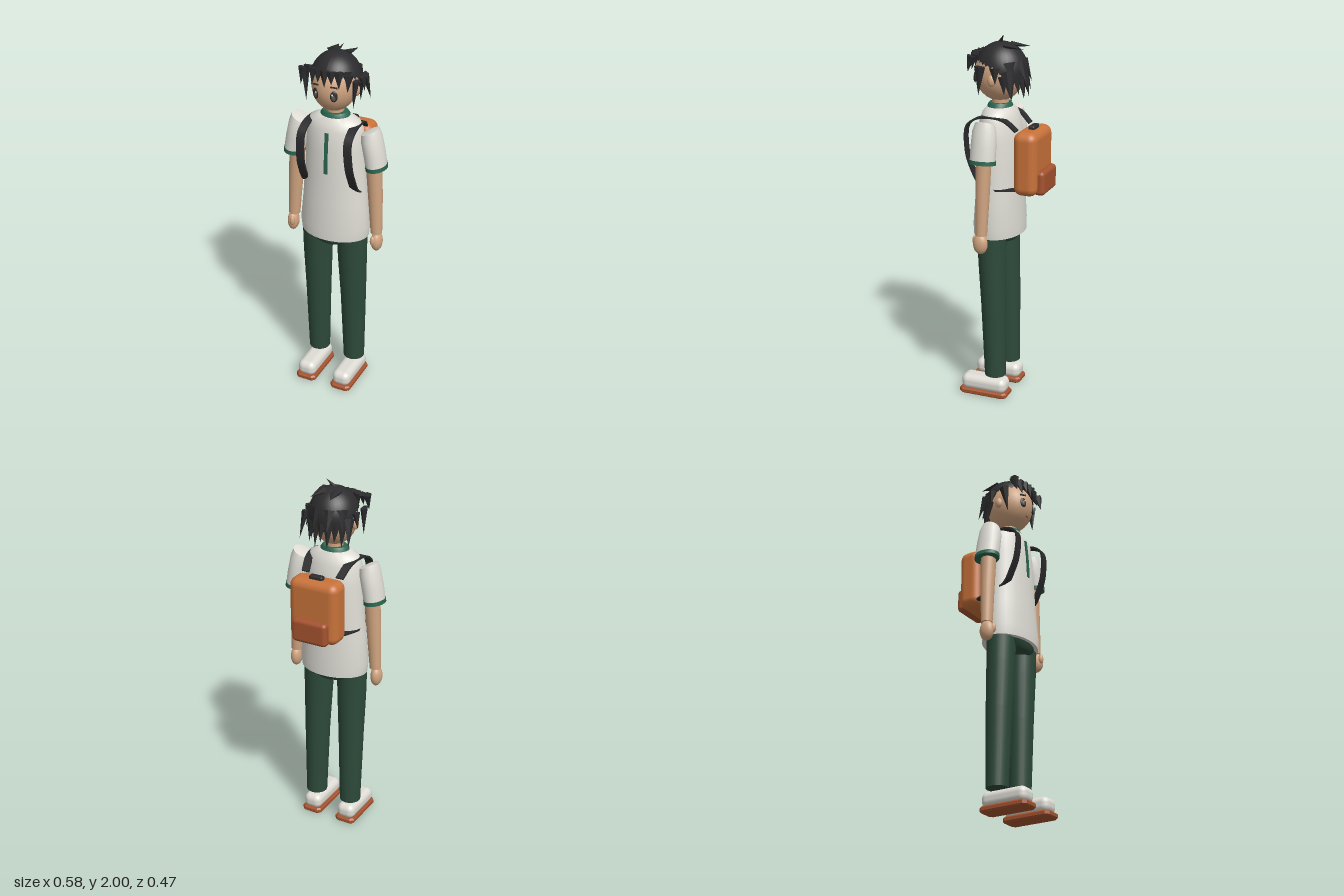
import * as THREE from 'three';
import { toCreasedNormals } from 'three/addons/utils/BufferGeometryUtils.js';
import { RoundedBoxGeometry } from 'three/addons/geometries/RoundedBoxGeometry.js';

const V = (x, y, z) => new THREE.Vector3(x, y, z);

function material(name, color, extra = {}) {
  const m = new THREE.MeshStandardMaterial({ color, ...extra });
  m.name = name;
  return m;
}

// Closed skin through elliptical rings [y, rx, rz, xCentre, zCentre, slope], listed upwards
function loft(rings, n = 24, side = 1) {
  const pos = [], idx = [];
  for (const [y, rx, rz, xc = 0, zc = 0, slope = 0] of rings) {
    for (let j = 0; j < n; j++) {
      const a = (j / n) * Math.PI * 2, dx = rx * Math.cos(a);
      pos.push(xc * side + dx, y + slope * side * dx, zc + rz * Math.sin(a));
    }
  }
  for (let i = 0; i < rings.length - 1; i++) {
    for (let j = 0; j < n; j++) {
      const a = i * n + j, b = i * n + (j + 1) % n;
      idx.push(a, a + n, b, b, a + n, b + n);
    }
  }
  const bottom = pos.length / 3, top = bottom + 1, last = (rings.length - 1) * n;
  for (const r of [rings[0], rings[rings.length - 1]]) pos.push((r[3] || 0) * side, r[0], r[4] || 0);
  for (let j = 0; j < n; j++) {
    const k = (j + 1) % n;
    idx.push(bottom, j, k, top, last + k, last + j);
  }
  const g = new THREE.BufferGeometry();
  g.setAttribute('position', new THREE.Float32BufferAttribute(pos, 3));
  g.setIndex(idx);
  return toCreasedNormals(g, 0.8);
}

// Flat band of width w following a path, flat across x
function band(points, w, t, steps = 32) {
  const curve = new THREE.CatmullRomCurve3(points);
  const g = new THREE.BoxGeometry(w, t, 1, 1, 1, steps);
  const p = g.attributes.position;
  for (let i = 0; i < p.count; i++) {
    const u = p.getZ(i) + 0.5, c = curve.getPoint(u), d = curve.getTangent(u);
    const n = V(0, d.z, -d.y).normalize().multiplyScalar(p.getY(i));
    p.setXYZ(i, c.x + p.getX(i), c.y + n.y, c.z + n.z);
  }
  return toCreasedNormals(g, 0.6);
}

// Pointed faceted lock of hair from base to tip, flattened along the outward direction
function lock(base, tip, out, w, t) {
  const dir = tip.clone().sub(base), len = dir.length();
  dir.normalize();
  const side = dir.clone().cross(out).normalize();
  const flat = side.clone().cross(dir);
  const g = new THREE.ConeGeometry(1, 1, 5).translate(0, 0.5, 0).scale(w, len, t);
  g.applyMatrix4(new THREE.Matrix4().makeBasis(side, dir, flat).setPosition(base));
  return toCreasedNormals(g, 0.3);
}

export function createModel() {
  const model = new THREE.Group();
  model.name = 'student';
  const skin = material('skin', 0xd0a480);
  const hair = material('hair black', 0x2c2c2e, { side: THREE.DoubleSide });
  const white = material('cloth white', 0xdedcd4);
  const green = material('trouser green', 0x2d4a3a);
  const trim = material('trim green', 0x2a6650);
  const orange = material('pack orange', 0xc8723a);
  const rust = material('rust', 0xa5532f);
  const iris = material('iris grey', 0x5c534e);

  const add = (name, geo, mat, parent = model) => {
    const m = new THREE.Mesh(geo, mat);
    m.name = name;
    parent.add(m);
    return m;
  };
  const ball = (name, mat, c, r, parent = model) => {
    const m = add(name, new THREE.SphereGeometry(1, 24, 16), mat, parent);
    m.position.set(...c);
    m.scale.set(...r);
    return m;
  };

  // Torso and clothing
  add('shirt', loft([
    [0.94, 0.188, 0.132, 0, 0.047], [1.0, 0.195, 0.133, 0, 0.047], [1.15, 0.181, 0.124, 0, 0.045],
    [1.3, 0.17, 0.12, 0, 0.043], [1.45, 0.161, 0.113, 0, 0.043], [1.56, 0.152, 0.1, 0, 0.045],
    [1.6, 0.136, 0.084, 0, 0.046], [1.625, 0.085, 0.066, 0, 0.046]], 32), white);
  add('collar', loft([[1.605, 0.083, 0.069, 0, 0.046], [1.63, 0.078, 0.065, 0, 0.046],
    [1.645, 0.066, 0.056, 0, 0.046]]), trim);
  add('placket', band([V(0, 1.33, 0.163), V(0, 1.45, 0.157), V(0, 1.555, 0.147)], 0.019, 0.008, 8), trim);
  add('hips', loft([[0.9, 0.1, 0.095, 0, 0.053], [0.915, 0.13, 0.105, 0, 0.053],
    [0.96, 0.17, 0.112, 0, 0.05]]), green);
  add('neck', loft([[1.6, 0.045, 0.045, 0, 0.045], [1.72, 0.044, 0.044, 0, 0.045]]), skin);

  // Limbs and footwear
  for (const s of [1, -1]) {
    const S = s > 0 ? 'left' : 'right';
    add(S + 'Trouser', loft([[0.13, 0.058, 0.058, 0.108, 0.035], [0.55, 0.07, 0.068, 0.106, 0.044],
      [0.8, 0.08, 0.074, 0.103, 0.053], [0.95, 0.083, 0.077, 0.102, 0.055]], 24, s), green);
    add(S + 'Sleeve', loft([[1.375, 0.053, 0.068, 0.235, 0.05, 0.12], [1.45, 0.054, 0.068, 0.222, 0.05, 0.2],
      [1.53, 0.052, 0.064, 0.205, 0.05, -0.4], [1.567, 0.046, 0.052, 0.197, 0.05, 0.5],
      [1.572, 0.022, 0.028, 0.196, 0.05, 0.5]].map(r => (r[5] < 0 ? [...r.slice(0, 5), 0.4] : r)), 24, s), white);
    add(S + 'Cuff', loft([[1.367, 0.055, 0.071, 0.236, 0.05, 0.12], [1.388, 0.055, 0.071, 0.233, 0.05, 0.12]], 24, s), trim);
    add(S + 'Arm', loft([[0.985, 0.031, 0.03, 0.243, 0.056], [1.2, 0.039, 0.037, 0.232, 0.052],
      [1.42, 0.044, 0.042, 0.218, 0.05]], 20, s), skin);
    ball(S + 'Hand', skin, [s * 0.248, 0.937, 0.06], [0.03, 0.056, 0.04]);
    ball(S + 'Thumb', skin, [s * 0.238, 0.95, 0.094], [0.014, 0.028, 0.014]);

    const shoe = add(S + 'Shoe', new RoundedBoxGeometry(0.106, 0.086, 0.262, 6, 0.036), white);
    shoe.position.set(s * 0.107, 0.069, 0.094);
    const w = 0.051, l = 0.13, c = 0.014;
    const outline = new THREE.Shape([[w, c - l], [w, l - c], [w - c, l], [c - w, l], [-w, l - c], [-w, c - l],
      [c - w, -l], [w - c, -l]].map(p => new THREE.Vector2(...p)));
    const sole = new THREE.ExtrudeGeometry(outline, { depth: 0.016, bevelSize: 0.008, bevelThickness: 0.008, bevelSegments: 1 });
    sole.rotateX(-Math.PI / 2).translate(s * 0.107, 0.012, 0.095);
    add(S + 'Sole', sole, rust);

    // Shoulder strap
    add(S + 'Strap', band([V(s * 0.1, 1.52, -0.085), V(s * 0.115, 1.575, -0.02), V(s * 0.123, 1.588, 0.06),
      V(s * 0.128, 1.575, 0.13), V(s * 0.131, 1.535, 0.176), V(s * 0.137, 1.4, 0.176), V(s * 0.14, 1.32, 0.15),
      V(s * 0.142, 1.235, 0.1), V(s * 0.15, 1.212, 0.02), V(s * 0.11, 1.208, -0.085)], 0.043, 0.01, 48), hair);
  }

  // Backpack
  const pack = new THREE.Group();
  pack.name = 'backpack';
  model.add(pack);
  add('packBody', new RoundedBoxGeometry(0.283, 0.34, 0.13, 4, 0.045), orange, pack).position.set(0, 1.35, -0.136);
  add('packPocket', new RoundedBoxGeometry(0.203, 0.13, 0.06, 4, 0.022), rust, pack).position.set(0, 1.25, -0.206);
  add('packHandle', new RoundedBoxGeometry(0.078, 0.03, 0.035, 3, 0.01), hair, pack).position.set(0, 1.524, -0.141);

  // Head and face
  const head = new THREE.Group();
  head.name = 'head';
  model.add(head);
  ball('face', skin, [0, 1.79, 0.05], [0.115, 0.138, 0.13], head);
  for (const s of [1, -1]) {
    ball('ear', skin, [s * 0.118, 1.775, 0.048], [0.017, 0.03, 0.021], head);
    const parts = [['eye', hair, 0.05, 1.775, 0.166, 0.019, 0.029, 0.007],
      ['iris', iris, 0.05, 1.769, 0.171, 0.011, 0.016, 0.004],
      ['eyeGlint', white, 0.045, 1.784, 0.174, 0.005, 0.006, 0.003]];
    for (const [name, mat, x, y, z, ...r] of parts)
      ball(name, mat, [s * x, y, z], r, head).rotation.y = s * 0.38;
    const brow = add('brow', new THREE.BoxGeometry(0.036, 0.007, 0.008), hair, head);
    brow.position.set(s * 0.05, 1.823, 0.165);
    brow.rotation.set(-0.2, s * 0.4, s * -0.08);
  }
  add('mouth', new THREE.BoxGeometry(0.02, 0.005, 0.006), rust, head).position.set(0, 1.711, 0.157);

  // Hair cap with a hairline that drops from forehead to nape
  const cap = new THREE.SphereGeometry(1, 32, 16);
  const p = cap.attributes.position, uv = cap.attributes.uv;
  for (let i = 0; i < p.count; i++) {
    const a = uv.getX(i) * Math.PI * 2, f = Math.cos(a);
    const th = (1 - uv.getY(i)) * (f > 0 ? 1.42 - 0.24 * f : 1.42 - 0.6 * f);
    p.setXYZ(i, 0.132 * Math.sin(th) * Math.sin(a), 1.815 + 0.147 * Math.cos(th), 0.037 + 0.137 * Math.sin(th) * f);
  }
  cap.computeVertexNormals();
  add('hairCap', cap, hair, head);

  const tuft = (name, b, t, w, d, out = V(b[0], 0, b[2] - 0.04)) =>
    add(name, lock(V(...b), V(...t), out.normalize(), w, d), hair, head);

  // Fringe
  [-0.105, -0.07, -0.035, 0, 0.035, 0.07, 0.105].forEach((x, i) => {
    const z = 0.168 - 2.6 * x * x;
    tuft('fringe', [x, 1.905, z], [x * 1.06 + 0.006, i % 2 ? 1.822 : 1.842, z + 0.016], 0.027, 0.022);
  });
  for (const s of [1, -1]) {
    // Locks around the ears and temples
    tuft('forelock', [s * 0.125, 1.9, 0.155], [s * 0.128, 1.815, 0.175], 0.026, 0.024);
    tuft('sideLock', [s * 0.14, 1.85, 0.1], [s * 0.13, 1.7, 0.115], 0.032, 0.016, V(s, 0, 0));
    tuft('earLock', [s * 0.138, 1.845, 0.02], [s * 0.148, 1.765, 0.015], 0.03, 0.018, V(s, 0, 0));
    tuft('rearLock', [s * 0.125, 1.83, -0.035], [s * 0.142, 1.69, -0.07], 0.032, 0.02);
    // Crown tufts lying on the back of the head
    tuft('crownTuft', [s * 0.035, 1.945, 0], [s * 0.055, 1.935, -0.105], 0.035, 0.014, V(0, 1, -0.4));
  }
  // Nape locks in two rows
  for (let i = 0; i < 9; i++) {
    const a = (i - 4) * 0.29, sx = Math.sin(a), cz = -Math.cos(a);
    tuft('napeLock', [sx * 0.122, 1.8, 0.037 + cz * 0.125],
      [sx * 0.122, i % 2 ? 1.675 : 1.705, 0.037 + cz * 0.143], 0.027, 0.018);
    if (i % 2) tuft('upperLock', [sx * 0.115, 1.87, 0.037 + cz * 0.115],
      [sx * 0.14, 1.76, 0.037 + cz * 0.157], 0.034, 0.02);
  }
  tuft('topTuft', [0, 1.952, 0.045], [0.032, 2.0, 0.015], 0.014, 0.014, V(0, 0, 1));
  return model;
}
